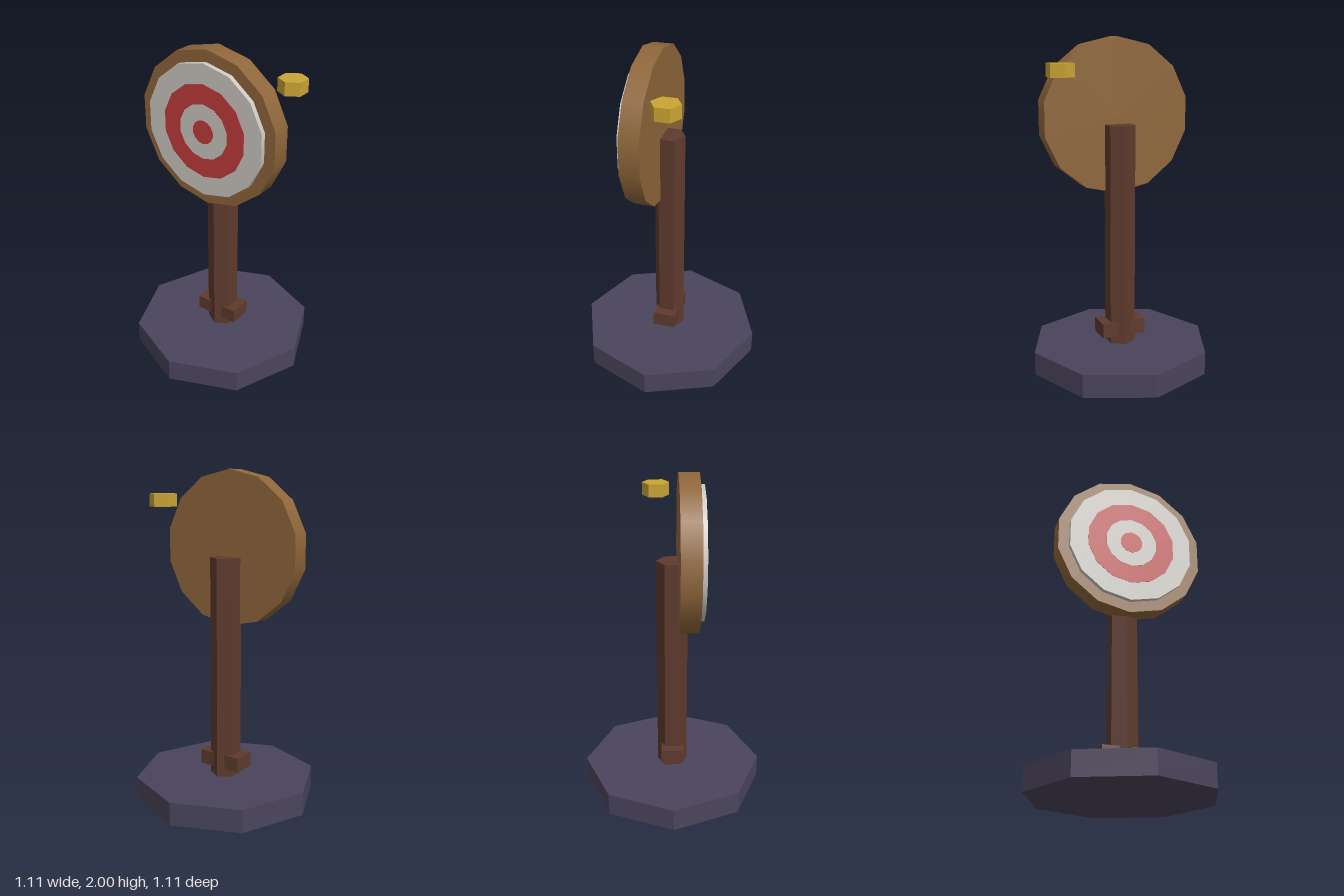
import * as THREE from 'three';

export function createModel() {
  const model = new THREE.Group();
  model.name = 'archeryTarget';

  const material = (name, color, flatShading = false) => {
    const m = new THREE.MeshStandardMaterial({ color, flatShading });
    m.name = name;
    return m;
  };
  const slate = material('slate', 0x4a445c, true);
  const darkWood = material('darkWood', 0x5e3a2d, true);
  const wood = material('wood', 0x8f663a);
  const cream = material('cream', 0xcdcac2);
  const red = material('red', 0xc23c3c);
  const gold = material('gold', 0xcba434, true);

  const add = (name, geometry, mat, x, y, z) => {
    const mesh = new THREE.Mesh(geometry, mat);
    mesh.name = name;
    mesh.position.set(x, y, z);
    model.add(mesh);
  };

  // Upright prism standing between two heights
  const prism = (name, radius, sides, y0, y1, mat, x = 0, z = 0) =>
    add(name, new THREE.CylinderGeometry(radius, radius, y1 - y0, sides), mat, x, (y0 + y1) / 2, z);

  // Fourteen-sided disc facing forward between two depths
  const disc = (name, radius, z0, z1, mat) =>
    add(name, new THREE.CylinderGeometry(radius, radius, z1 - z0, 14).rotateX(Math.PI / 2),
      mat, 0, 1.537, (z0 + z1) / 2);

  // Stand
  prism('base', 0.556, 8, 0, 0.14, slate);
  prism('post', 0.0925, 6, 0.14, 1.49, darkWood);
  add('crossBrace', new THREE.BoxGeometry(0.278, 0.09, 0.14), darkWood, 0, 0.235, 0);

  // Target board and its painted rings
  disc('backBoard', 0.463, 0.035, 0.152, wood);
  disc('targetFace', 0.395, 0.152, 0.181, cream);
  disc('outerRedRing', 0.279, 0.181, 0.183, red);
  disc('innerCreamRing', 0.163, 0.183, 0.185, cream);
  disc('bullseye', 0.07, 0.185, 0.187, red);

  // Floating token beside the board
  prism('goldToken', 0.083, 6, 1.78, 1.857, gold, 0.394, -0.093);

  return model;
}
